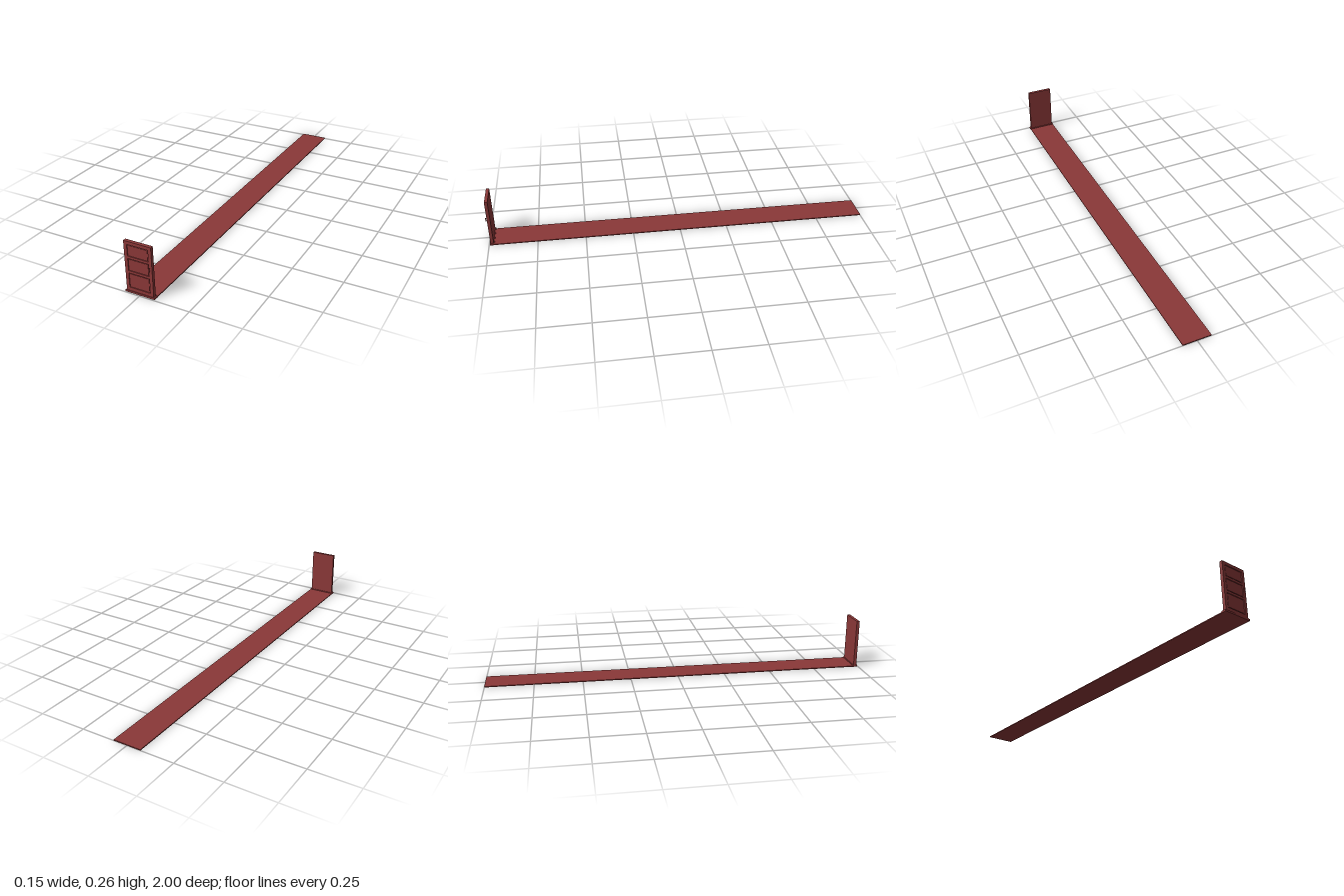
import * as THREE from 'three';

const material = new THREE.MeshStandardMaterial({ color: 0x8b3838 });

// Box given by its limits on each axis
function box(name, [x0, x1], [y0, y1], [z0, z1]) {
  const mesh = new THREE.Mesh(new THREE.BoxGeometry(x1 - x0, y1 - y0, z1 - z0), material);
  mesh.position.set((x0 + x1) / 2, (y0 + y1) / 2, (z0 + z1) / 2);
  mesh.name = name;
  return mesh;
}

function rectangle(Type, x0, x1, y0, y1) {
  return new Type([[x0, y0], [x1, y0], [x1, y1], [x0, y1]].map(([x, y]) => new THREE.Vector2(x, y)));
}

export function createModel() {
  const model = new THREE.Group();
  model.name = 'doorWithFloor';

  // Long thin floor and the threshold under the door
  model.add(box('floor', [-0.074, 0.074], [0, 0.005], [-1, 0.973]));
  model.add(box('threshold', [-0.075, 0.075], [0, 0.009], [0.972, 0.995]));

  // Door: plain back, front frame with three openings
  const door = new THREE.Group();
  door.name = 'door';
  const back = 0.976, recess = 0.988, front = 0.992;
  const panels = [[0.026, 0.099], [0.111, 0.172], [0.184, 0.241]];
  const halfPanel = 0.053;
  door.add(box('doorCore', [-0.069, 0.069], [0.009, 0.257], [back, recess]));

  const outline = rectangle(THREE.Shape, -0.069, 0.069, 0.009, 0.257);
  outline.holes = panels.map(([y0, y1]) => rectangle(THREE.Path, -halfPanel, halfPanel, y0, y1));
  const frame = new THREE.Mesh(
    new THREE.ExtrudeGeometry(outline, { depth: front - recess, bevelEnabled: false }), material);
  frame.position.z = recess;
  frame.name = 'doorFrame';
  door.add(frame);

  // Slightly raised field inside each opening leaves a groove around it
  const gap = 0.004;
  for (const [y0, y1] of panels) {
    door.add(box('panel', [-halfPanel + gap, halfPanel - gap], [y0 + gap, y1 - gap],
      [recess - 0.001, recess + 0.002]));
  }

  // Upright handle on two short posts
  const handle = new THREE.Group();
  handle.name = 'handle';
  handle.add(box('grip', [0.0565, 0.06], [0.139, 0.158], [0.997, 1]));
  for (const y of [0.142, 0.153]) {
    handle.add(box('handlePost', [0.057, 0.0595], [y, y + 0.002], [front - 0.001, 0.998]));
  }
  door.add(handle);
  model.add(door);
  return model;
}
